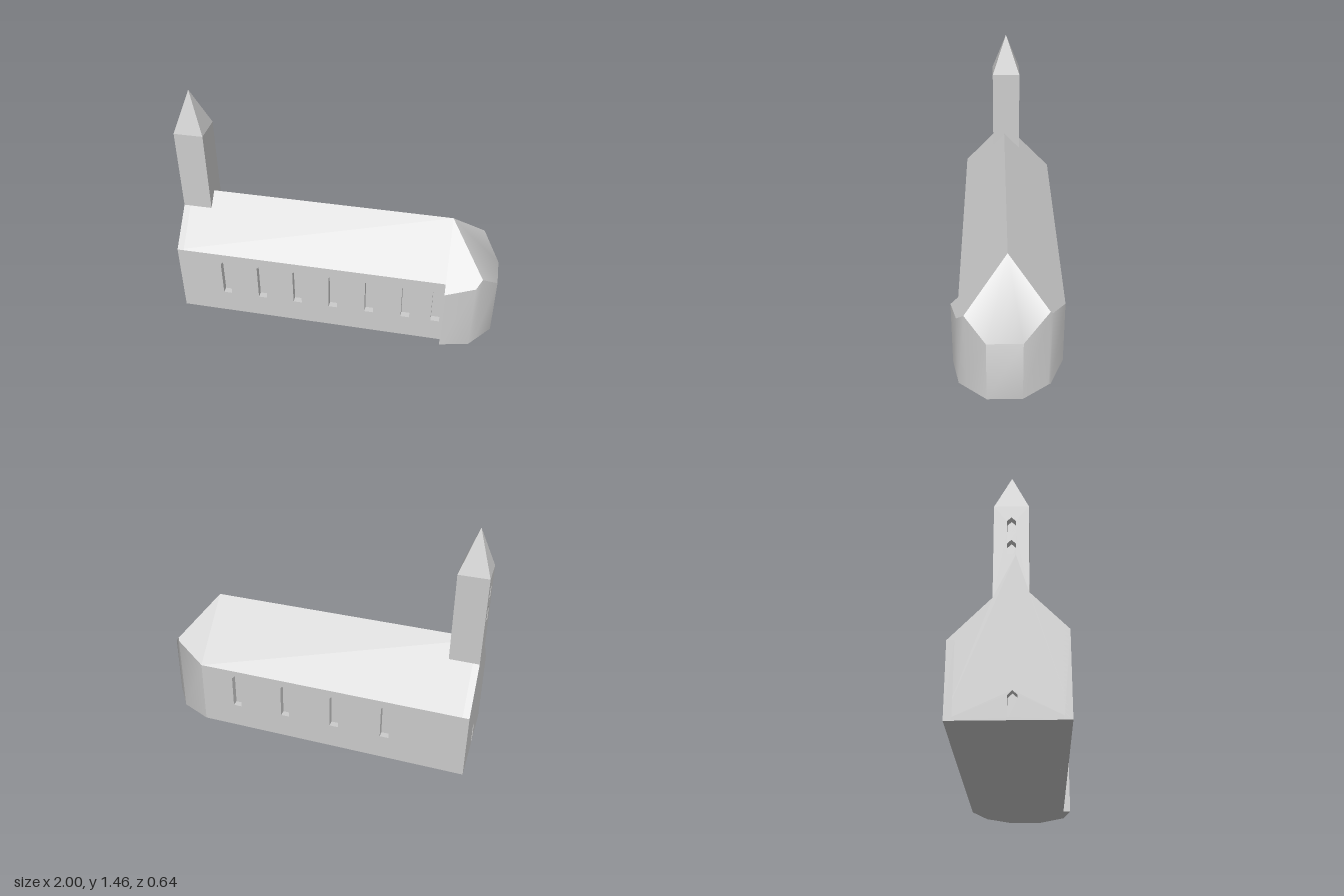
import * as THREE from 'three';
import { toCreasedNormals } from 'three/addons/utils/BufferGeometryUtils.js';

const RIDGE = 0.76, SOUTH = 0.275, NORTH = -0.325, WEST = -1, EAST = 0.69, DEPTH = 0.04;

// Roof height: two long slopes, and a hip over the apse
const roofY = (x, z) => RIDGE - Math.max(1.06 * Math.abs(z), 1.18 * (x - EAST), 0);

const stone = new THREE.MeshStandardMaterial({ color: 0xcccccc });
stone.name = 'stone';

function add(parent, geometry, name) {
  const mesh = new THREE.Mesh(geometry, stone);
  mesh.name = name;
  parent.add(mesh);
  return mesh;
}

const toShape = (pts) => new THREE.Shape(pts.map(([x, y]) => new THREE.Vector2(x, y)));

// Pointed window outline
function lancet(x, bottom, top, width = 0.054) {
  const w = width / 2;
  return [[x - w, bottom], [x + w, bottom], [x + w, top - w], [x, top], [x - w, top - w]];
}

// Wall with its outer face at local z = 0, and niches closed by a back plate
function wall(parent, name, outline, niches) {
  const group = new THREE.Group();
  group.name = name;
  const shape = toShape(outline);
  shape.holes = niches.map((n) => new THREE.Path(n.map(([x, y]) => new THREE.Vector2(x, y))));
  const slab = new THREE.ExtrudeGeometry(shape, { depth: DEPTH, bevelEnabled: false });
  add(group, slab.translate(0, 0, -DEPTH), name + 'Face');
  niches.forEach((n) => {
    const back = new THREE.ShapeGeometry(toShape(n));
    add(group, back.translate(0, 0, -DEPTH), 'windowBack');
  });
  parent.add(group);
  return group;
}

// Flat convex faces, each a loop of corners, counter-clockwise from outside
function faces(loops) {
  const pos = [];
  for (const p of loops) {
    for (let i = 1; i < p.length - 1; i++) pos.push(...p[0], ...p[i], ...p[i + 1]);
  }
  const g = new THREE.BufferGeometry();
  g.setAttribute('position', new THREE.Float32BufferAttribute(pos, 3));
  g.computeVertexNormals();
  return g;
}

export function createModel() {
  const church = new THREE.Group();
  church.name = 'church';

  // Long side walls
  const southTop = roofY(0, SOUTH), northTop = roofY(0, NORTH);
  const southWindows = [-0.695, -0.46, -0.23, 0, 0.23, 0.46, 0.647];
  wall(church, 'southWall',
    [[WEST, 0], [EAST, 0], [EAST, southTop], [WEST, southTop]],
    southWindows.map((x) => lancet(x, 0.155, 0.42))).position.z = SOUTH;

  const northWindows = [-0.51, -0.19, 0.13, 0.455];
  const north = wall(church, 'northWall',
    [[-EAST, 0], [-WEST, 0], [-WEST, northTop], [-EAST, northTop]],
    northWindows.map((x) => lancet(-x, 0.155, 0.388)));
  north.rotation.y = Math.PI;
  north.position.z = NORTH;

  // West gable, running up into the tower front
  const tz0 = -0.105, tz1 = 0.078, towerTop = 1.2;
  const west = wall(church, 'westFront', [
    [NORTH, 0], [SOUTH, 0], [SOUTH, southTop], [tz1, roofY(0, tz1)], [tz1, towerTop],
    [tz0, towerTop], [tz0, roofY(0, tz0)], [NORTH, northTop],
  ], [
    lancet(-0.005, 0.015, 0.15, 0.05),
    lancet(-0.013, 0.9, 0.99, 0.046),
    lancet(-0.013, 1.04, 1.13, 0.046),
  ]);
  west.rotation.y = -Math.PI / 2;
  west.position.x = WEST;

  // Tower body and spire
  const tx1 = -0.82, tzMid = (tz0 + tz1) / 2, tzSize = tz1 - tz0;
  const body = add(church, new THREE.BoxGeometry(tx1 - WEST - DEPTH, 0.6, tzSize), 'tower');
  body.position.set((WEST + DEPTH + tx1) / 2, towerTop - 0.3, tzMid);
  const cone = new THREE.ConeGeometry(Math.SQRT1_2, 0.255, 4, 1).rotateY(Math.PI / 4).toNonIndexed();
  cone.scale(tx1 - WEST, 1, tzSize);
  cone.computeVertexNormals();
  add(church, cone, 'spire').position.set((WEST + tx1) / 2, towerTop + 0.1275, tzMid);

  // Nave roof and floor
  add(church, faces([
    [[WEST, southTop, SOUTH], [EAST, southTop, SOUTH], [EAST, RIDGE, 0], [WEST, RIDGE, 0]],
    [[EAST, northTop, NORTH], [WEST, northTop, NORTH], [WEST, RIDGE, 0], [EAST, RIDGE, 0]],
  ]), 'naveRoof');
  add(church, faces([
    [[WEST, 0, NORTH], [EAST, 0, NORTH], [EAST, 0, SOUTH], [WEST, 0, SOUTH]],
  ]), 'naveFloor');

  // Apse: rounded wall, hipped roof and floor, smooth across shallow angles
  const plan = [
    [EAST, 0.32], [0.87, 0.28], [0.904, 0.238], [1, 0.12],
    [1, -0.08], [0.893, -0.226], [0.885, -0.24], [EAST, NORTH],
  ];
  const apse = [];
  for (let i = 0; i < plan.length - 1; i++) {
    const [ax, az] = plan[i], [bx, bz] = plan[i + 1];
    const a = [ax, roofY(ax, az), az], b = [bx, roofY(bx, bz), bz];
    apse.push([[ax, 0, az], [bx, 0, bz], b, a]);
    apse.push([a, b, [EAST, RIDGE, 0]]);
    apse.push([[EAST, 0, 0], [bx, 0, bz], [ax, 0, az]]);
  }
  // Step where the apse stands proud of the south wall
  apse.push([
    [EAST, 0, SOUTH], [EAST, 0, 0.32], [EAST, roofY(EAST, 0.32), 0.32], [EAST, southTop, SOUTH],
  ]);
  add(church, toCreasedNormals(faces(apse), THREE.MathUtils.degToRad(42)), 'apse');

  return church;
}
